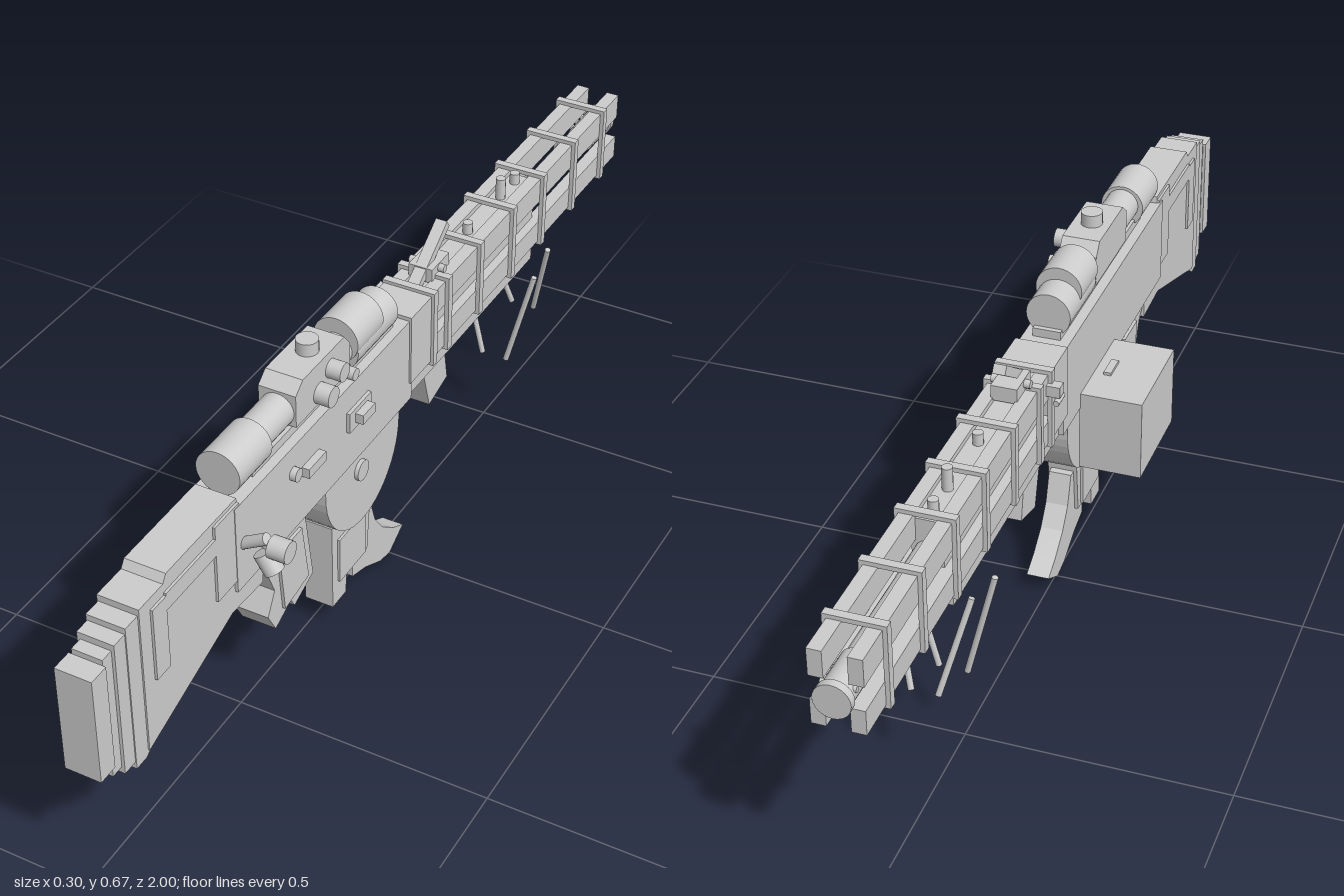
import * as THREE from 'three';

const CX = 0.017; // centre plane of the body

export function createModel() {
  const root = new THREE.Group();
  const grey = new THREE.MeshStandardMaterial({ color: 0xcccccc });
  grey.name = 'light grey';

  const add = (name, geo) => {
    const m = new THREE.Mesh(geo, grey);
    m.name = name;
    root.add(m);
    return m;
  };
  // box from its limits
  const box = (name, x0, x1, y0, y1, z0, z1) => {
    const m = add(name, new THREE.BoxGeometry(x1 - x0, y1 - y0, z1 - z0));
    m.position.set((x0 + x1) / 2, (y0 + y1) / 2, (z0 + z1) / 2);
    return m;
  };
  // side profile of [z, y] points, extruded across x
  const plate = (name, pts, x0, x1) => {
    const shape = new THREE.Shape(pts.map(p => new THREE.Vector2(p[0], p[1])));
    const geo = new THREE.ExtrudeGeometry(shape, { depth: x1 - x0, bevelEnabled: false });
    geo.rotateY(-Math.PI / 2).translate(x1, 0, 0);
    return add(name, geo);
  };
  // cylinder between two points
  const rod = (name, a, b, r, sides = 24) => {
    const A = new THREE.Vector3(...a), B = new THREE.Vector3(...b);
    const d = B.clone().sub(A);
    const m = add(name, new THREE.CylinderGeometry(r, r, d.length(), sides));
    m.position.copy(A).add(B).multiplyScalar(0.5);
    m.quaternion.setFromUnitVectors(new THREE.Vector3(0, 1, 0), d.normalize());
    return m;
  };

  // stock: butt plate, stepped rear and sloping main part
  box('buttPlate', -0.018, 0.052, 0.275, 0.494, 0.96, 1.0);
  box('stockStep1', -0.012, 0.046, 0.25, 0.505, 0.935, 0.96);
  box('stockStep2', -0.018, 0.052, 0.237, 0.518, 0.905, 0.935);
  plate('stockStep3', [[0.905, 0.222], [0.875, 0.222], [0.85, 0.24], [0.85, 0.53], [0.905, 0.53]], -0.02, 0.054);
  plate('stock', [[0.87, 0.235], [0.6, 0.325], [0.5, 0.318], [0.5, 0.366], [0.57, 0.53],
    [0.575, 0.558], [0.79, 0.558], [0.8, 0.543], [0.87, 0.543]], -0.022, 0.057);
  for (const [a, b] of [[-0.027, -0.022], [0.057, 0.062]]) {
    box('stockPanel', a, b, 0.37, 0.52, 0.8, 0.84);
    box('stockPanel', a, b, 0.49, 0.525, 0.64, 0.8);
    box('stockPanel', a, b, 0.39, 0.55, 0.575, 0.65);
  }

  // receiver
  box('receiver', -0.03, 0.063, 0.365, 0.545, -0.04, 0.59);
  box('receiverFront', -0.034, 0.067, 0.405, 0.553, -0.11, -0.03);
  box('lowerRib', -0.016, 0.05, 0.352, 0.366, 0.27, 0.52);

  // handguard: core, bottom plate, four corner rails and bands
  box('handguardCore', -0.012, 0.046, 0.41, 0.54, -0.6, -0.1);
  box('handguardBottom', -0.02, 0.054, 0.362, 0.41, -0.585, -0.03);
  for (const [x0, x1] of [[-0.03, -0.004], [0.038, 0.064]]) {
    box('upperRail', x0, x1, 0.497, 0.55, -0.98, -0.1);
    box('lowerRail', x0, x1, 0.402, 0.45, -0.98, -0.1);
  }
  for (const z of [-0.12, -0.18, -0.315, -0.46, -0.6, -0.75, -0.895]) {
    const s = new THREE.Shape();
    const rect = (p, a, b, c, d) => p.moveTo(a, c).lineTo(b, c).lineTo(b, d).lineTo(a, d).closePath();
    rect(s, -0.038, 0.072, 0.395, 0.558);
    const hole = new THREE.Path();
    rect(hole, -0.029, 0.063, 0.403, 0.549);
    s.holes.push(hole);
    add('handguardBand', new THREE.ExtrudeGeometry(s, { depth: 0.016, bevelEnabled: false })).position.z = z - 0.008;
  }

  // barrel and muzzle
  rod('barrel', [CX, 0.475, -0.1], [CX, 0.475, -0.95], 0.023);
  rod('muzzle', [CX, 0.472, -0.9], [CX, 0.472, -0.985], 0.029);
  rod('muzzleTip', [CX, 0.472, -0.985], [CX, 0.472, -1.0], 0.033);
  for (const z of [-0.92, -0.945, -0.97]) {
    rod('muzzlePort', [CX - 0.031, 0.482, z], [CX + 0.031, 0.482, z], 0.006, 10);
  }

  // top posts and folding sight
  for (const z of [-0.36, -0.505, -0.57]) {
    rod('topPost', [CX, 0.535, z], [CX, z === -0.505 ? 0.585 : 0.563, z], 0.01, 12);
  }
  plate('foldingSight', [[-0.12, 0.545], [-0.15, 0.545], [-0.255, 0.617], [-0.245, 0.632]], 0.005, 0.029);
  box('sightBase', -0.008, 0.042, 0.545, 0.575, -0.23, -0.16);
  rod('sightPin', [-0.02, 0.565, -0.19], [0.054, 0.565, -0.19], 0.008, 12);

  // slanting legs under the handguard
  for (const s of [-1, 1]) {
    rod('rearLeg', [CX + s * 0.082, 0.375, -0.505], [CX + s * 0.027, 0.155, -0.505], 0.006, 10);
    rod('frontLeg', [CX + s * 0.072, 0.39, -0.59], [CX + s * 0.025, 0.205, -0.638], 0.006, 10);
  }

  // fore grip
  plate('foreGrip', [[-0.12, 0.37], [-0.15, 0.27], [-0.225, 0.29], [-0.21, 0.37]], -0.012, 0.046);

  // scope
  box('scopeRail', -0.01, 0.044, 0.54, 0.562, 0.0, 0.5);
  rod('eyepiece', [CX, 0.588, 0.46], [CX, 0.588, 0.565], 0.043, 32);
  rod('scopeTube', [CX, 0.592, 0.1], [CX, 0.592, 0.47], 0.033, 32);
  rod('scopeRing', [CX, 0.61, 0.07], [CX, 0.61, 0.165], 0.045, 32);
  rod('objective', [CX, 0.588, 0.01], [CX, 0.588, 0.16], 0.043, 32);
  plate('scopeSaddle', [[0.37, 0.565], [0.37, 0.63], [0.345, 0.65], [0.2, 0.65], [0.18, 0.625], [0.18, 0.565]], -0.02, 0.054);
  for (const z of [0.1, 0.22, 0.34, 0.43]) box('scopeFoot', 0.0, 0.034, 0.55, 0.58, z - 0.015, z + 0.015);
  rod('topKnob', [CX, 0.64, 0.265], [CX, 0.675, 0.265], 0.021);
  for (const [y, z, r] of [[0.588, 0.29, 0.02], [0.615, 0.25, 0.018], [0.585, 0.21, 0.012]]) {
    rod('sideKnob', [0.04, y, z], [0.083, y, z], r);
  }

  // half-round feed housing and side box
  const drum = [[0.28, 0.37]];
  for (let i = 0; i <= 24; i++) {
    const a = Math.PI * i / 24;
    drum.push([0.14 + 0.14 * Math.cos(a), 0.345 - 0.145 * Math.sin(a)]);
  }
  drum.push([0, 0.37]);
  plate('feedHousing', drum, -0.024, 0.058);
  rod('housingPin', [0.05, 0.325, 0.153], [0.066, 0.325, 0.153], 0.021);
  box('sideBox', -0.152, -0.028, 0.23, 0.396, 0.06, 0.272);
  box('sideBoxLatch', -0.065, -0.05, 0.39, 0.402, 0.14, 0.19);

  // lower well and curved blade
  plate('lowerWell', [[0.24, 0.24], [0.24, 0.05], [0.19, 0.05], [0.185, 0.095], [0.105, 0.095], [0.09, 0.24]], -0.012, 0.047);
  box('lowerWellRib', -0.017, 0.052, 0.1, 0.2, 0.12, 0.22);
  plate('curvedBlade', [[0.15, 0.1], [0.15, 0.055], [0.1, 0.04], [0.04, 0.01], [0.0, 0.002], [-0.055, 0.034],
    [-0.015, 0.055], [0.03, 0.09], [0.06, 0.13], [0.08, 0.19], [0.1, 0.19], [0.11, 0.1]], -0.005, 0.04);

  // rear grip
  plate('rearGrip', [[0.52, 0.36], [0.48, 0.32], [0.455, 0.26], [0.48, 0.215], [0.455, 0.17], [0.4, 0.195],
    [0.388, 0.173], [0.32, 0.2], [0.345, 0.36]], -0.018, 0.052);
  plate('gripPanel', [[0.445, 0.34], [0.43, 0.2], [0.345, 0.215], [0.365, 0.34]], -0.024, 0.058);

  // cocking handle and controls
  rod('handleArm', [0.055, 0.452, 0.565], [0.108, 0.483, 0.565], 0.011, 16);
  rod('handleKnob', [0.114, 0.466, 0.56], [0.15, 0.466, 0.56], 0.021);
  rod('handleLowerKnob', [0.1, 0.452, 0.565], [0.121, 0.418, 0.565], 0.019);
  rod('handleLink', [0.1, 0.467, 0.56], [0.118, 0.467, 0.56], 0.01, 12);
  box('selector', 0.055, 0.078, 0.462, 0.482, 0.31, 0.37);
  box('portFrame', 0.055, 0.07, 0.45, 0.492, 0.13, 0.21);
  box('portLever', 0.07, 0.086, 0.462, 0.482, 0.145, 0.19);
  rod('sidePin', [0.055, 0.49, 0.4], [0.075, 0.49, 0.4], 0.013, 16);
  box('leftCatch', -0.056, -0.03, 0.511, 0.533, -0.138, -0.116);
  rod('leftCatchPin', [-0.051, 0.503, -0.145], [-0.051, 0.503, -0.11], 0.006, 12);

  return root;
}
